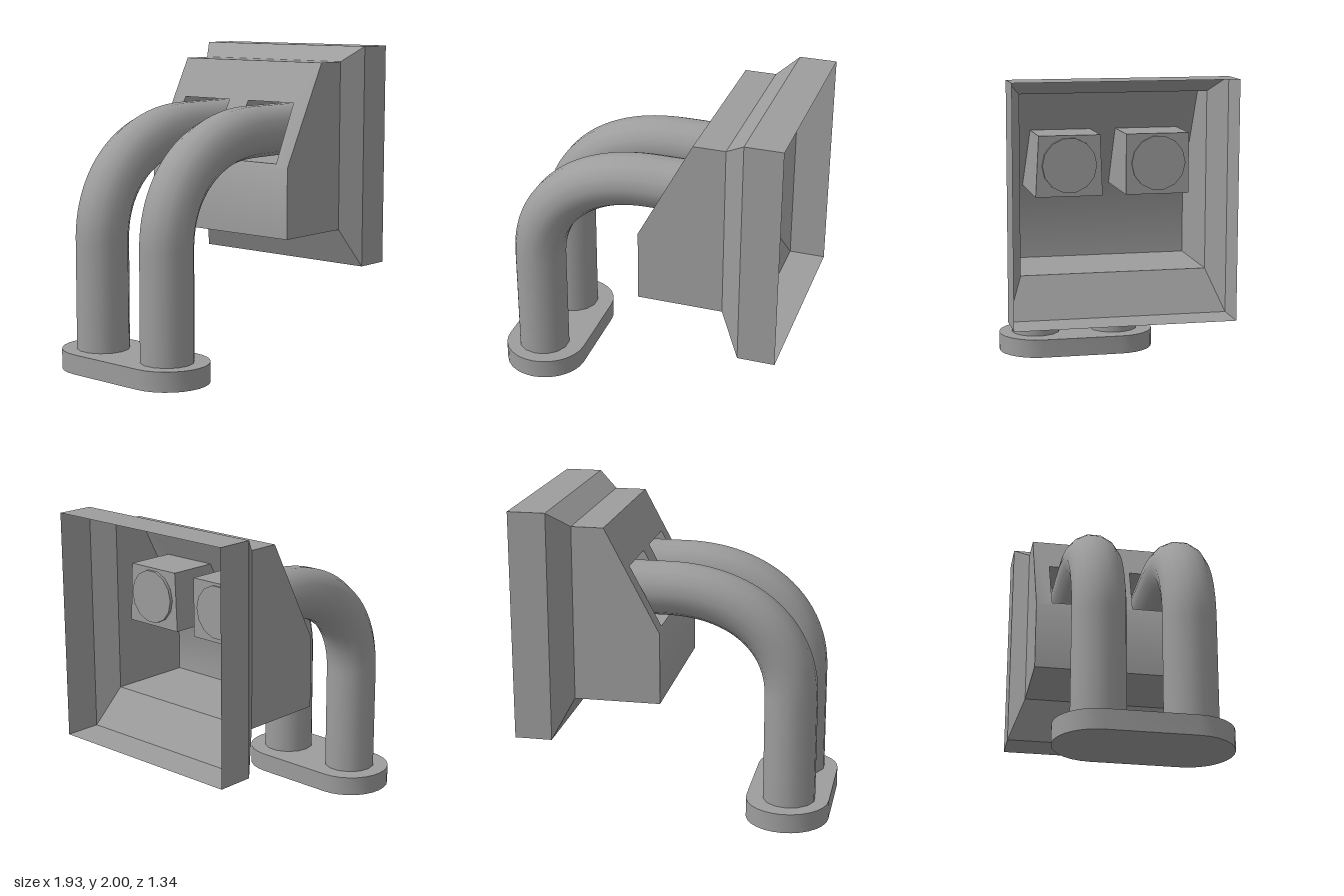
import * as THREE from 'three';
import { mergeGeometries, toCreasedNormals } from 'three/addons/utils/BufferGeometryUtils.js';

const GREY = 0x9d9d9d;
const CREASE = 0.6;
const solid = new THREE.MeshStandardMaterial({ color: GREY });
const sheet = new THREE.MeshStandardMaterial({ color: GREY, side: THREE.DoubleSide });

function add(parent, name, geometry, material) {
  const mesh = new THREE.Mesh(geometry, material);
  mesh.name = name;
  parent.add(mesh);
  return mesh;
}

// Flat panels from convex polygons, each a list of [x, y, z] corners
function panels(polygons) {
  const pos = [];
  for (const p of polygons)
    for (let i = 1; i < p.length - 1; i++) pos.push(...p[0], ...p[i], ...p[i + 1]);
  const g = new THREE.BufferGeometry();
  g.setAttribute('position', new THREE.Float32BufferAttribute(pos, 3));
  g.computeVertexNormals();
  return g;
}

// Four-sided tube skin between rings of equal corner count
function skin(a, b) {
  return a.map((p, i) => {
    const j = (i + 1) % a.length;
    return [p, a[j], b[j], b[i]];
  });
}

const ring = (x, y0, y1, w) => [[x, y0, w], [x, y0, -w], [x, y1, -w], [x, y1, w]];

// Sloped back of the hood: x as a function of height
const TOP = 1.903;
const slopeX = (y) => 0.06 + 0.34 * (y - 1.26) / (TOP - 1.26);

// Pipes and their sleeve openings, as [z, y] corners
const pipes = [
  { z: 0.27, end: 0.6, hole: [[0.475, 1.28], [0.065, 1.28], [0.08, 1.65], [0.455, 1.65]] },
  { z: -0.28, end: 0.59, hole: [[-0.08, 1.28], [-0.47, 1.28], [-0.47, 1.65], [-0.08, 1.65]] },
];

// Lower back and sloped back as one softly creased panel with two openings
function makeBack(w) {
  const lower = panels([[[0.06, 0.81, w], [0.06, 1.26, w], [0.06, 1.26, -w], [0.06, 0.81, -w]]]);
  const toVec = (p) => new THREE.Vector2(...p);
  const shape = new THREE.Shape([[-w, 1.26], [w, 1.26], [w, TOP], [-w, TOP]].map(toVec));
  for (const { hole } of pipes) shape.holes.push(new THREE.Path(hole.map(toVec)));
  const slope = new THREE.ShapeGeometry(shape).toNonIndexed();
  slope.deleteAttribute('uv');
  const p = slope.attributes.position;
  for (let i = 0; i < p.count; i++) p.setXYZ(i, slopeX(p.getY(i)), p.getY(i), p.getX(i));
  return toCreasedNormals(mergeGeometries([lower, slope]), CREASE);
}

function makeHood() {
  const hood = new THREE.Group();
  hood.name = 'hood';
  const w = 0.573;

  // Box body: cheeks, floor and roof, running into the flared open mouth
  const cheek = (z) => [[0.06, 0.81, z], [0.6, 0.81, z], [0.6, TOP, z], [0.4, TOP, z], [0.06, 1.26, z]];
  const throat = ring(0.6, 0.81, TOP, w);
  const flare = ring(0.73, 0.56, 2, 0.67);
  const rim = ring(0.965, 0.56, 2, 0.67);
  add(hood, 'hoodShell', panels([
    cheek(w),
    cheek(-w).reverse(),
    [[0.06, 0.81, w], [0.06, 0.81, -w], [0.6, 0.81, -w], [0.6, 0.81, w]],
    [[0.4, TOP, w], [0.6, TOP, w], [0.6, TOP, -w], [0.4, TOP, -w]],
    ...skin(throat, flare),
    ...skin(flare, rim),
  ]), sheet);

  add(hood, 'hoodBack', makeBack(w), sheet);

  // Sleeves running inward from the openings, closed at the far end
  for (const { hole } of pipes) {
    const outer = hole.map(([z, y]) => [slopeX(y), y, z]);
    const inner = hole.map(([z, y]) => [0.58, y, z]);
    add(hood, 'sleeve', panels([...skin(outer, inner), inner]), sheet);
  }
  return hood;
}

// Bent pipe: upright, sweeping bend, level run, with an end disc
function makePipe({ z, end }) {
  const pipe = new THREE.Group();
  pipe.name = 'pipe';
  const v = (x, y) => new THREE.Vector3(x, y, 0);
  const path = new THREE.CurvePath();
  path.add(new THREE.LineCurve3(v(-0.715, 0.06), v(-0.715, 0.82)));
  path.add(new THREE.CubicBezierCurve3(v(-0.715, 0.82), v(-0.715, 1.2), v(-0.41, 1.47), v(0.06, 1.47)));
  path.add(new THREE.LineCurve3(v(0.06, 1.47), v(end, 1.47)));
  add(pipe, 'pipeTube', new THREE.TubeGeometry(path, 56, 0.167, 14), solid);
  const cap = add(pipe, 'pipeEnd', new THREE.CircleGeometry(0.167, 14), solid);
  cap.position.set(end, 1.47, 0);
  cap.rotation.y = Math.PI / 2;
  pipe.position.z = z;
  return pipe;
}

// Rounded foot plate under both pipes
function makeFoot() {
  const s = new THREE.Shape();
  s.absarc(-0.705, 0.285, 0.265, 0, Math.PI, false);
  s.absarc(-0.705, -0.26, 0.265, Math.PI, Math.PI * 2, false);
  s.closePath();
  const g = new THREE.ExtrudeGeometry(s, { depth: 0.125, bevelEnabled: false, curveSegments: 7 });
  g.rotateX(-Math.PI / 2);
  return toCreasedNormals(g, CREASE);
}

export function createModel() {
  const model = new THREE.Group();
  model.name = 'ventCowl';
  model.add(makeHood());
  for (const spec of pipes) model.add(makePipe(spec));
  add(model, 'footPlate', makeFoot(), solid);
  return model;
}
